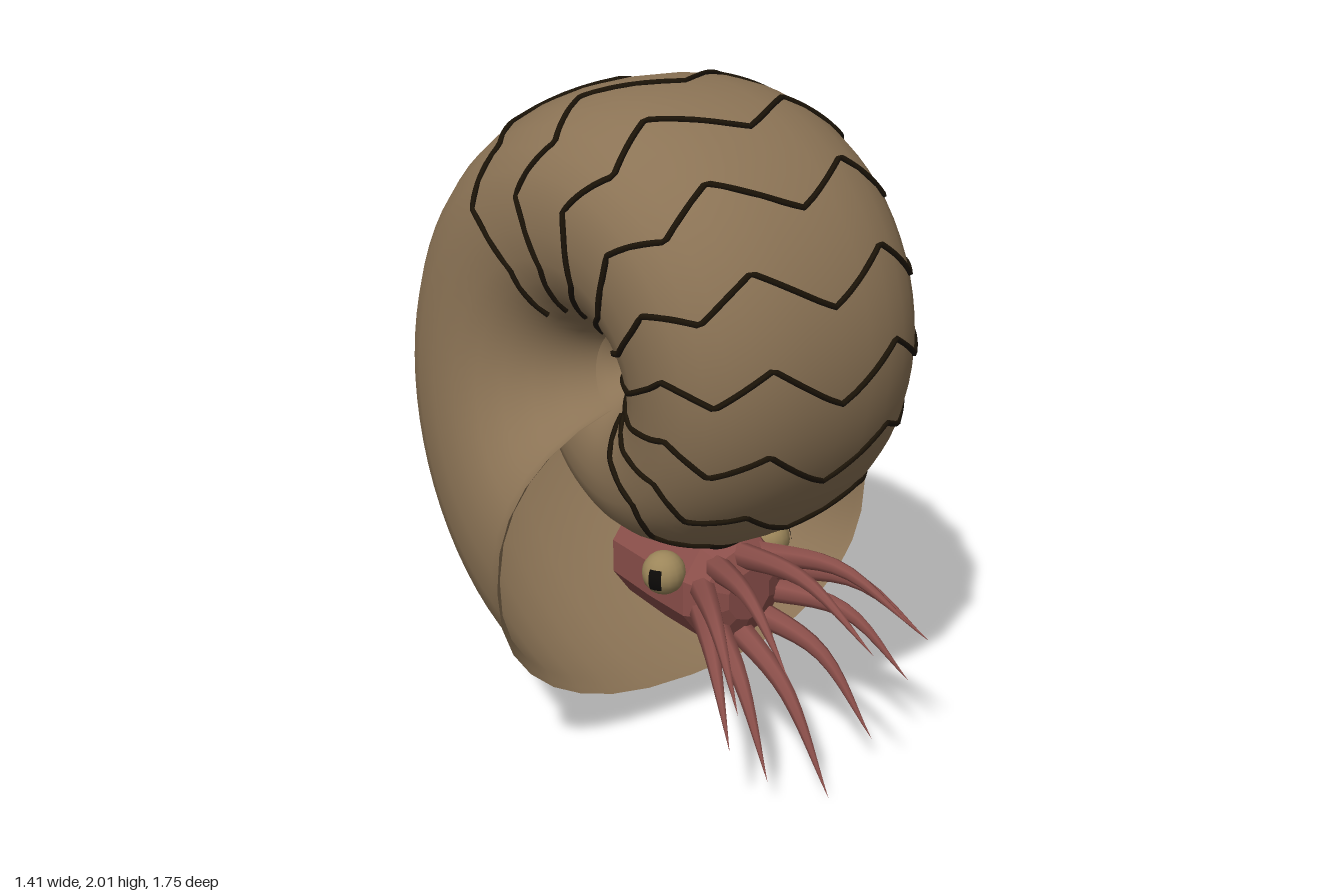
import * as THREE from 'three';

const rad = THREE.MathUtils.degToRad;
const TURN = Math.PI * 2;

const mat = (name, color, side = THREE.FrontSide) =>
  Object.assign(new THREE.MeshStandardMaterial({ color, side }), { name });

// Point on the coiled shell: a = angle back from the aperture, t = angle around the whorl (0 = outer rim)
function shellPoint(a, t, lift = 0) {
  const R = 1.09 * Math.exp(-0.1072 * a);
  const curve = v => Math.sign(v) * Math.abs(v) ** 0.87;
  const flare = 1 + 0.05 * Math.max(0, 1 - a / 0.08);
  const r = R * (0.546 + 0.454 * curve(Math.cos(t))) + lift * Math.cos(t);
  const x = R * (0.615 + 0.01 * a) * flare * curve(Math.sin(t)) + lift * Math.sin(t);
  return new THREE.Vector3(x, 1.215 - r * Math.cos(a), 0.045 - r * Math.sin(a));
}

// Two full whorls swept along the spiral
function shellGeometry() {
  const sides = 32, pos = [], index = [];
  const angles = [0, 0.03, 0.08];
  for (let i = 1; i <= 130; i++) angles.push(0.08 + (i / 130) * (2 * TURN - 0.08));
  angles.forEach((a, i) => {
    for (let j = 0; j < sides; j++) {
      pos.push(...shellPoint(a, (j / sides) * TURN).toArray());
      if (i === angles.length - 1) continue;
      const p = i * sides + j, q = i * sides + ((j + 1) % sides);
      index.push(p, p + sides, q, q, p + sides, q + sides);
    }
  });
  const g = new THREE.BufferGeometry();
  g.setAttribute('position', new THREE.Float32BufferAttribute(pos, 3));
  g.setIndex(index);
  g.computeVertexNormals();
  return g;
}

// Zigzag suture line running from one umbilicus over the rim to the other
function sutureGeometry(degrees) {
  const shifts = [0, -12, -4, -13, -5, -13], steps = 6, path = new THREE.CurvePath();
  const pts = [];
  for (let i = -5 * steps; i <= 5 * steps; i++) {
    const u = Math.abs(i) / steps, k = Math.min(4, Math.floor(u));
    const shift = THREE.MathUtils.lerp(shifts[k], shifts[k + 1], u - k);
    pts.push(shellPoint(rad(degrees + shift), rad(26 * i / steps), 0.002));
  }
  for (let i = 1; i < pts.length; i++) path.add(new THREE.LineCurve3(pts[i - 1], pts[i]));
  return new THREE.TubeGeometry(path, 120, 0.009, 5);
}

// Tube narrowing to a point
function tentacleGeometry(points, radius) {
  const rings = 12, sides = 7;
  const curve = new THREE.CatmullRomCurve3(points);
  const g = new THREE.TubeGeometry(curve, rings, radius, sides);
  const p = g.attributes.position, v = new THREE.Vector3();
  for (let i = 0; i <= rings; i++) {
    const c = curve.getPointAt(i / rings), s = 1 - (i / rings) ** 1.2;
    for (let j = 0; j <= sides; j++) {
      const k = i * (sides + 1) + j;
      v.fromBufferAttribute(p, k).sub(c).multiplyScalar(s).add(c);
      p.setXYZ(k, v.x, v.y, v.z);
    }
  }
  return g;
}

export function createModel() {
  const model = new THREE.Group();
  model.name = 'coiledShellAnimal';
  const shellMat = mat('shell tan', 0x8b7355, THREE.DoubleSide);
  const lineMat = mat('suture dark brown', 0x1c1408);
  const fleshMat = mat('flesh red', 0x8b4f4a);
  const eyeMat = mat('eye gold', 0x9c865a);
  const pupilMat = mat('pupil black', 0x0c0a08);
  const add = (name, geometry, material, parent = model) => {
    const m = new THREE.Mesh(geometry, material);
    m.name = name;
    parent.add(m);
    return m;
  };

  add('shell', shellGeometry(), shellMat);

  // Suture lines
  const sutures = new THREE.Group();
  sutures.name = 'sutureLines';
  model.add(sutures);
  for (let i = 0; i < 9; i++) add('sutureLine', sutureGeometry(154 + 22.8 * i), lineMat, sutures);

  // Faceted head emerging from the aperture
  const profile = [[0, -0.15], [0.17, -0.15], [0.18, 0.05], [0.18, 0.22], [0.15, 0.29], [0.08, 0.32], [0, 0.32]]
    .map(([r, z]) => new THREE.Vector2(r, z));
  const head = new THREE.LatheGeometry(profile, 10).rotateX(Math.PI / 2).toNonIndexed();
  head.computeVertexNormals();
  add('head', head, fleshMat).position.y = 0.51;

  // Eyes with a dark patch facing slightly forward
  for (const s of [1, -1]) {
    const eye = new THREE.Group();
    eye.name = s > 0 ? 'leftEye' : 'rightEye';
    eye.position.set(s * 0.2, 0.585, 0.165);
    model.add(eye);
    add('eyeball', new THREE.SphereGeometry(0.066, 16, 12), eyeMat, eye);
    const start = Math.PI * (s > 0 ? 0.74 : 0.07);
    add('pupil', new THREE.SphereGeometry(0.07, 6, 6, start, Math.PI * 0.19, Math.PI / 2 - 0.48, 0.96), pupilMat, eye);
  }

  // Ring of ten drooping tentacles, listed by tip from the lowest to the highest
  const tentacles = new THREE.Group();
  tentacles.name = 'tentacles';
  model.add(tentacles);
  const tips = [[0, 0.0, 0.7], [0.2, 0.11, 0.66], [0.34, 0.26, 0.66], [0.36, 0.41, 0.72], [0.24, 0.51, 0.79], [0, 0.54, 0.87]];
  tips.forEach(([x, y, z], i) => {
    const a = i * Math.PI / 5;
    for (const s of x ? [1, -1] : [1]) {
      const base = new THREE.Vector3(s * 0.11 * Math.sin(a), 0.51 - 0.11 * Math.cos(a), 0.22);
      const tip = new THREE.Vector3(s * x, y, z);
      const mid = base.clone().lerp(tip, 0.5).add(new THREE.Vector3(s * 0.03 * Math.sin(a), 0.075, 0.03));
      add('tentacle', tentacleGeometry([base, mid, tip], 0.042), fleshMat, tentacles);
    }
  });
  return model;
}
